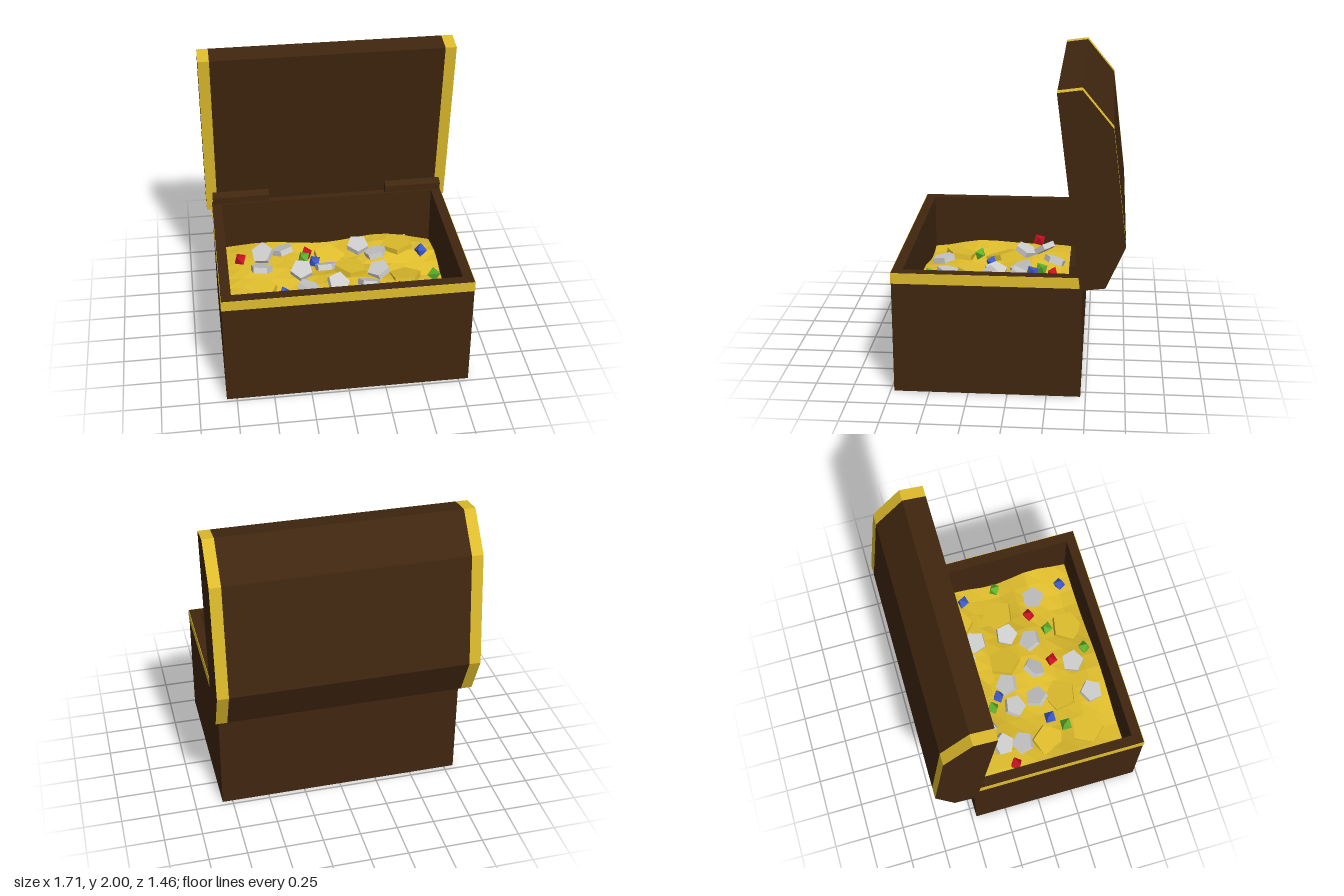
import * as THREE from 'three';

const mat = (color) => new THREE.MeshStandardMaterial({ color, flatShading: true });

export function createModel() {
  const group = new THREE.Group();
  group.name = 'treasureChest';
  const wood = mat(0x40260f), gold = mat(0xdebc2c), heapGold = mat(0xdebc2c);
  heapGold.side = THREE.DoubleSide;
  const silver = mat(0xcccccc);
  const gemMats = { red: mat(0xc81020), green: mat(0x5fb02c), blue: mat(0x3c58c8) };

  const add = (name, geometry, material, x = 0, y = 0, z = 0, parent = group) => {
    const mesh = new THREE.Mesh(geometry, material);
    mesh.name = name;
    mesh.position.set(x, y, z);
    parent.add(mesh);
    return mesh;
  };

  // Rectangular upright frame, hollow in the middle
  const zMid = 0.13;
  const rect = (hx, hz) => [[-hx, -hz], [hx, -hz], [hx, hz], [-hx, hz]].map((p) => new THREE.Vector2(...p));
  const frame = (hx, hz, wall, height) => {
    const shape = new THREE.Shape(rect(hx, hz));
    shape.holes.push(new THREE.Path(rect(hx - wall, hz - wall)));
    return new THREE.ExtrudeGeometry(shape, { depth: height, bevelEnabled: false }).rotateX(-Math.PI / 2);
  };

  // Chest body
  add('chestWalls', frame(0.817, 0.597, 0.067, 0.81), wood, 0, 0, zMid);
  add('chestFloor', new THREE.BoxGeometry(1.6, 0.06, 1.16), wood, 0, 0.03, zMid);
  add('rimBand', frame(0.82, 0.6, 0.004, 0.07), gold, 0, 0.739, zMid);

  // Open lid: one side profile (z, y) extruded across x
  const profile = [[-0.30, 1.98], [-0.45, 2.0], [-0.64, 1.77], [-0.73, 1.03], [-0.61, 0.76], [-0.455, 0.74]];
  const lidSlice = (x0, x1, points = profile) => {
    const shape = new THREE.Shape(points.map(([z, y]) => new THREE.Vector2(-z, y)));
    const g = new THREE.ExtrudeGeometry(shape, { depth: x1 - x0, bevelEnabled: false });
    return g.rotateY(Math.PI / 2).translate(x0, 0, 0);
  };
  const lid = new THREE.Group();
  lid.name = 'lid';
  group.add(lid);
  add('lidShell', lidSlice(-0.78, 0.78), wood, 0, 0, 0, lid);
  const hingeProfile = [[-0.385, 0.875], [-0.445, 0.895], [-0.46, 0.80], [-0.435, 0.805], [-0.385, 0.825]];
  for (const [side, a, b, h0, h1] of [['left', 0.78, 0.855, 0.415, 0.81], ['right', -0.855, -0.78, -0.81, -0.415]]) {
    add(side + 'LidBand', lidSlice(a, b), [wood, gold], 0, 0, 0, lid);
    add(side + 'Hinge', lidSlice(h0, h1, hingeProfile), wood);
  }

  // Lumpy heap of gold
  const heapY = (x, z) => 0.435 + 0.025 * Math.sin(7 * x + 4 * z) + 0.02 * Math.sin(11 * z - 5 * x + 1) - 0.02 * x;
  const heap = new THREE.PlaneGeometry(1.51, 1.07, 14, 10).rotateX(-Math.PI / 2).translate(0, 0, zMid);
  const pos = heap.attributes.position;
  for (let i = 0; i < pos.count; i++) {
    pos.setY(i, heapY(pos.getX(i), pos.getZ(i)) + 0.012 * Math.sin(i * 12.9));
  }
  heap.computeVertexNormals();
  add('goldHeap', heap, heapGold);

  // Treasure scattered on the heap
  const scatter = (name, geometry, material, places, lift, tilt) => places.forEach(([x, z], i) => {
    const item = add(name, geometry, material, x, heapY(x, z) + lift, z);
    item.rotation.set(tilt * Math.sin(i * 2.3 + 1), i * 1.9 + 0.4, tilt * Math.cos(i * 3.7));
  });
  scatter('goldPiece', new THREE.CylinderGeometry(0.115, 0.115, 0.04, 5), gold, [
    [-0.53, 0.15], [-0.52, 0.44], [-0.23, 0.33], [0.27, 0.53], [0.49, 0.07],
    [0.11, 0.01], [-0.01, -0.22], [0.48, -0.24],
  ], 0.015, 0.2);
  scatter('silverPiece', new THREE.CylinderGeometry(0.08, 0.08, 0.04, 5), silver, [
    [-0.49, -0.17], [-0.34, -0.25], [-0.51, -0.03], [-0.23, -0.01], [-0.06, -0.02], [-0.2, 0.16], [0, 0.2],
    [-0.03, 0.48], [-0.28, 0.54], [0.2, -0.26], [0.31, -0.15], [0.3, 0.08], [0.21, 0.23], [0.54, 0.35],
  ], 0.04, 0.4);
  const gems = {
    red: [[-0.65, -0.12], [-0.17, -0.24], [0.03, 0.34], [0.41, 0.28]],
    green: [[-0.2, -0.16], [-0.46, 0.3], [0.28, 0.38], [0.05, 0.59], [0.69, 0.1]],
    blue: [[-0.13, -0.1], [-0.37, 0.21], [0.64, -0.15], [0.59, 0.57]],
  };
  const gem = new THREE.OctahedronGeometry(0.05);
  for (const color in gems) scatter(color + 'Gem', gem, gemMats[color], gems[color], 0.05, 0.5);

  return group;
}
